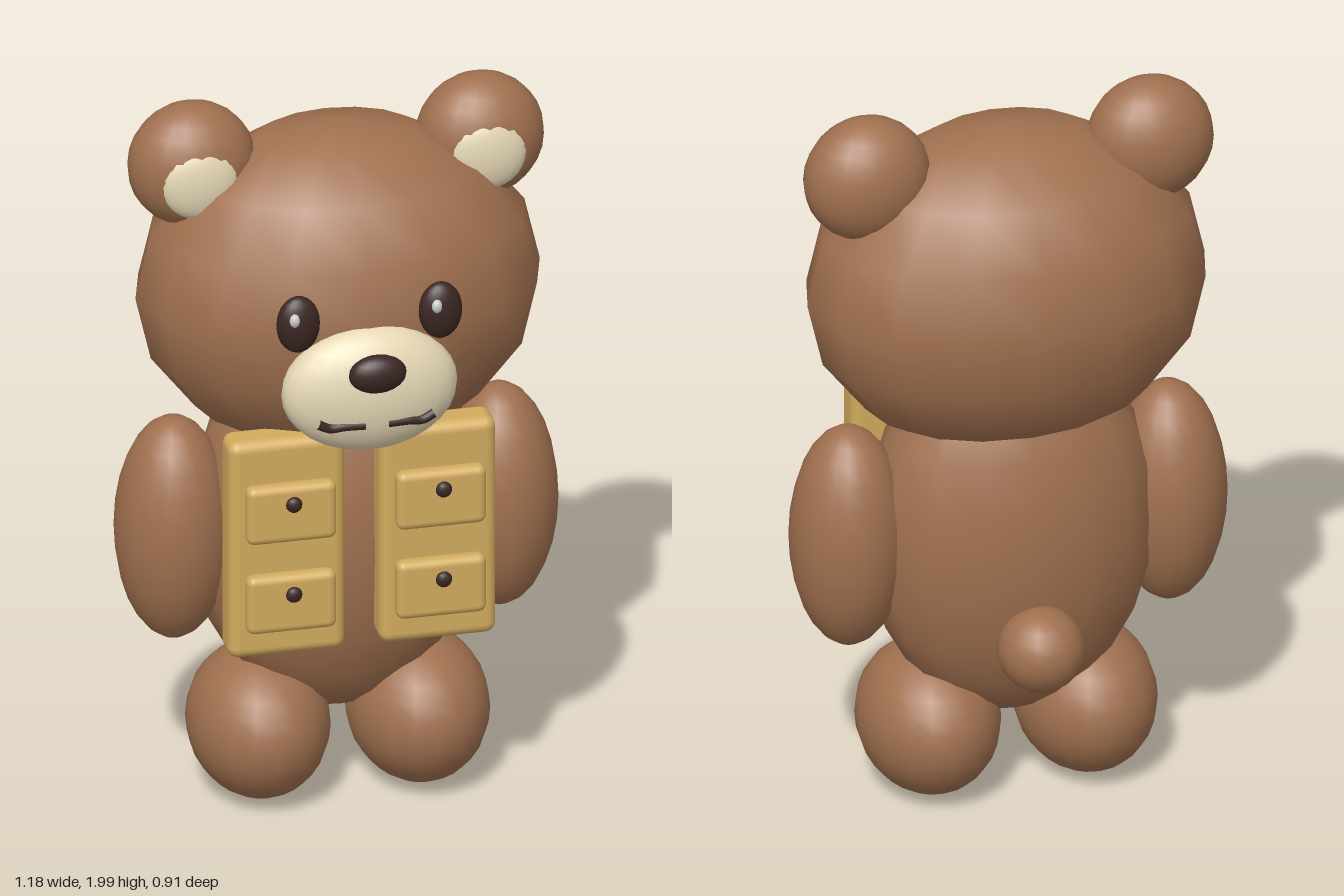
import * as THREE from 'three';
import { RoundedBoxGeometry } from 'three/addons/geometries/RoundedBoxGeometry.js';

const mat = (color) => new THREE.MeshStandardMaterial({ color });

export function createModel() {
  const bear = new THREE.Group();
  bear.name = 'teddyBear';
  const fur = mat(0xa0704f);
  const cream = mat(0xe6d8b6);
  const dark = mat(0x3a2622);
  const tan = mat(0xd2ab5e);
  const white = mat(0xffffff);

  const add = (name, geometry, material, [x, y, z] = [0, 0, 0]) => {
    const mesh = new THREE.Mesh(geometry, material);
    mesh.name = name;
    mesh.position.set(x, y, z);
    bear.add(mesh);
    return mesh;
  };
  const ball = (name, material, pos, radii, segs = 20, rings = 14) => {
    const mesh = add(name, new THREE.SphereGeometry(1, segs, rings), material, pos);
    mesh.scale.set(...radii);
    return mesh;
  };
  const slab = (name, pos, [w, h, d], r) =>
    add(name, new RoundedBoxGeometry(w, h, d, 3, r), tan, pos);

  // Head, body and tail
  ball('head', fur, [0, 1.46, -0.035], [0.54, 0.46, 0.375], 16, 8);
  ball('body', fur, [0, 0.77, -0.065], [0.39, 0.54, 0.265], 16, 12);
  ball('tail', fur, [0, 0.525, -0.342], [0.115, 0.115, 0.115], 16, 12);

  // Muzzle and nose
  ball('muzzle', cream, [0, 1.318, 0.325], [0.235, 0.175, 0.1], 24, 16);
  ball('nose', dark, [0, 1.4, 0.42], [0.077, 0.053, 0.038]);

  for (const s of [1, -1]) {
    const side = s > 0 ? 'left' : 'right';

    // Ears
    ball(`${side}Ear`, fur, [s * 0.385, 1.828, -0.057], [0.17, 0.172, 0.13]);
    ball(`${side}InnerEar`, cream, [s * 0.385, 1.815, 0.035], [0.104, 0.104, 0.042]);

    // Eyes with a highlight on the same side of both
    ball(`${side}Eye`, dark, [s * 0.19, 1.52, 0.325], [0.058, 0.08, 0.036]);
    ball(`${side}EyeHighlight`, white, [s * 0.19 - 0.016, 1.545, 0.355], [0.014, 0.019, 0.013], 12, 8);

    // Half of the mouth
    const smile = new THREE.CatmullRomCurve3([
      new THREE.Vector3(s * 0.155, 1.262, 0.402),
      new THREE.Vector3(s * 0.125, 1.247, 0.402),
      new THREE.Vector3(s * 0.085, 1.25, 0.405),
      new THREE.Vector3(s * 0.03, 1.25, 0.408),
    ]);
    add(`${side}Mouth`, new THREE.TubeGeometry(smile, 12, 0.013, 8), dark);

    // Arms and legs
    ball(`${side}Arm`, fur, [s * 0.435, 0.785, -0.053], [0.155, 0.315, 0.163]);
    ball(`${side}Leg`, fur, [s * 0.213, 0.212, -0.035], [0.187, 0.205, 0.235]);

    // Vest panel with two buttoned pockets
    slab(`${side}VestPanel`, [s * 0.202, 0.842, 0.207], [0.312, 0.624, 0.105], 0.03);
    for (const [level, y, by] of [['Upper', 0.96, 0.997], ['Lower', 0.702, 0.737]]) {
      slab(`${side}${level}Pocket`, [s * 0.2, y, 0.284], [0.24, 0.166, 0.05], 0.022);
      ball(`${side}${level}Button`, dark, [s * 0.2, by, 0.323], [0.022, 0.022, 0.014], 12, 8);
    }
  }
  return bear;
}
